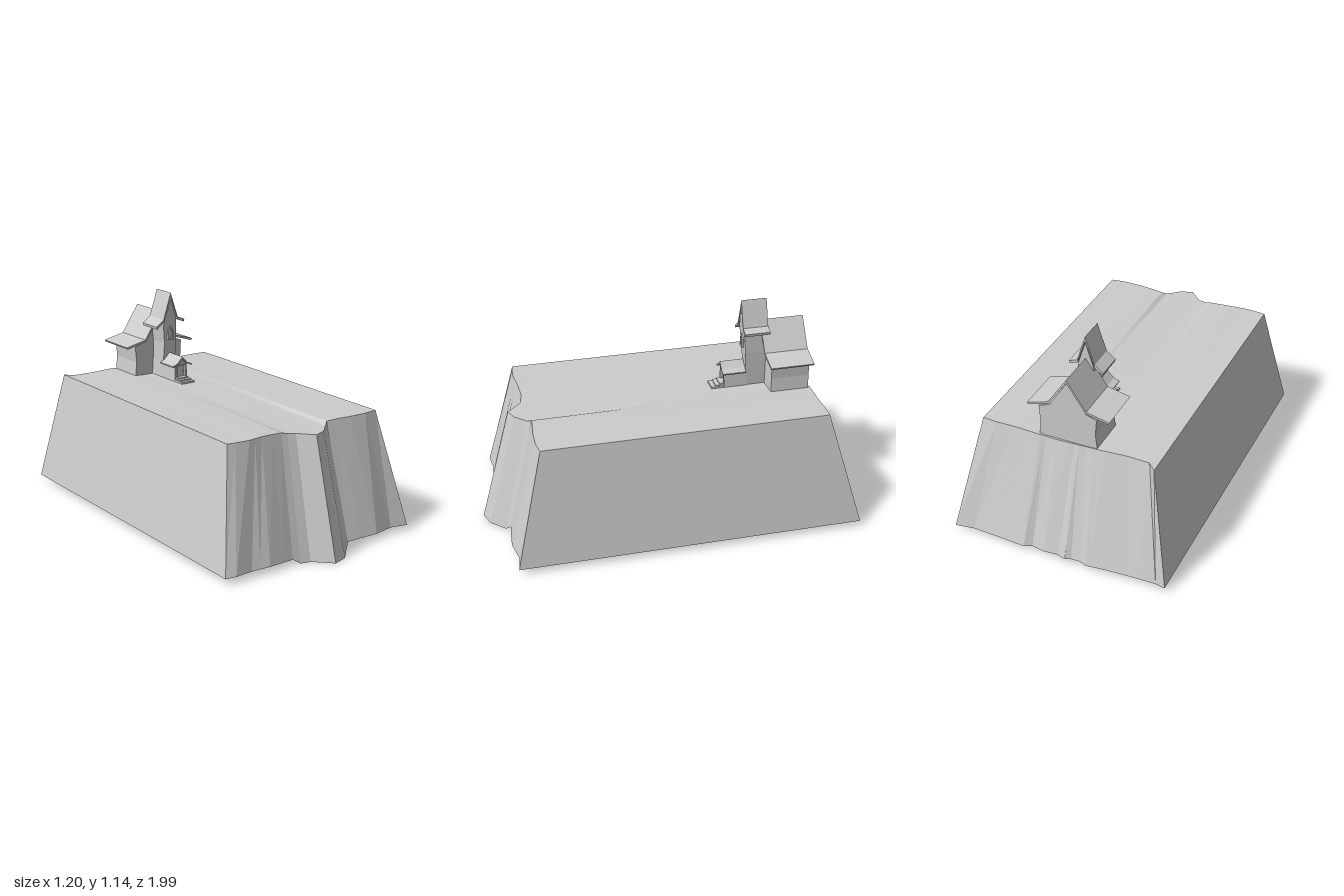
import * as THREE from 'three';

const stone = new THREE.MeshStandardMaterial({ color: 0xcccccc, side: THREE.DoubleSide });
stone.name = 'pale grey';

// Cliff cross-sections: u across (-1..1), top z, top y, bottom z, bottom y
const FRONT = [
  [-1, .725, .655, .87, .03], [-.91, .732, .655, .885, .034], [-.74, .738, .654, .875, .031], [-.57, .73, .655, .89, .035],
  [-.31, .725, .65, .875, .028], [-.24, .732, .64, .887, 0], [-.15, .745, .637, .9, 0], [0, .82, .635, .99, 0],
  [.14, .795, .635, .965, 0], [.27, .735, .637, .888, 0], [.32, .715, .652, .865, .027], [.45, .722, .655, .875, .032],
  [.625, .732, .655, .885, .034], [.83, .736, .655, .862, .033], [1, .725, .655, .88, .03],
];
const BACK = [
  [-1, -.865, .655, -.985, .03], [-.91, -.82, .655, -.975, .03], [-.66, -.816, .655, -.98, .03], [-.42, -.825, .655, -.99, .03],
  [-.28, -.826, .652, -1, .03], [-.21, -.824, .65, -.985, .03], [-.13, -.828, .65, -.986, .03], [-.08, -.826, .65, -1, .03],
  [0, -.83, .65, -.985, .03], [.13, -.832, .65, -.992, .03], [.25, -.828, .65, -.98, .03], [.32, -.833, .653, -1, .03],
  [.58, -.828, .655, -.99, .03], [.83, -.83, .655, -.984, .03], [1, -.825, .655, -1, .03],
];

// Linear lookup of a cross-section at u
function sample(rows, u) {
  let i = 1;
  while (i < rows.length - 1 && rows[i][0] < u) i++;
  const a = rows[i - 1], b = rows[i], t = (u - a[0]) / (b[0] - a[0]);
  return a.map((v, k) => v + (b[k] - v) * t);
}

// Flat-shaded sheet through a grid of points
function sheet(rows) {
  const pos = [];
  for (let r = 0; r < rows.length - 1; r++) {
    for (let i = 0; i < rows[r].length - 1; i++) {
      const a = rows[r][i], b = rows[r][i + 1], c = rows[r + 1][i + 1], d = rows[r + 1][i];
      pos.push(...a, ...b, ...c, ...a, ...c, ...d);
    }
  }
  const g = new THREE.BufferGeometry();
  g.setAttribute('position', new THREE.Float32BufferAttribute(pos, 3));
  g.computeVertexNormals();
  return g;
}

function add(parent, name, geometry) {
  const mesh = new THREE.Mesh(geometry, stone);
  mesh.name = name;
  parent.add(mesh);
  return mesh;
}

// Front outline pushed from z0 to z1, with optional hole
function slab(points, z0, z1, hole) {
  const shape = new THREE.Shape(points.map(p => new THREE.Vector2(...p)));
  if (hole) shape.holes.push(new THREE.Path(hole.map(p => new THREE.Vector2(...p))));
  return new THREE.ExtrudeGeometry(shape, { depth: z1 - z0, bevelEnabled: false }).translate(0, 0, z0);
}

// Roof shell of a given thickness below its outline
function roof(points, t, z0, z1) {
  const under = points.map(([x, y], i) => [x * .97, y - (i === 2 ? t * 1.6 : t)]).reverse();
  return slab([...points, ...under], z0, z1);
}

function box(x0, x1, y0, y1, z0, z1) {
  return new THREE.BoxGeometry(x1 - x0, y1 - y0, z1 - z0).translate((x0 + x1) / 2, (y0 + y1) / 2, (z0 + z1) / 2);
}

function makeCliff() {
  const cliff = new THREE.Group();
  cliff.name = 'cliff';
  const us = [...new Set([...FRONT, ...BACK].map(r => r[0]))].sort((a, b) => a - b);
  const topEdge = rows => us.map(u => { const s = sample(rows, u); return [u * .485, s[2], s[1]]; });
  const bottomEdge = rows => us.map(u => { const s = sample(rows, u); return [u * .6, s[4], s[3]]; });
  const ft = topEdge(FRONT), fb = bottomEdge(FRONT), bt = topEdge(BACK), bb = bottomEdge(BACK);

  // Plateau with a shallow channel fading toward the back
  const plateau = [0, .15, .35, .6, 1].map(t => ft.map((p, i) => {
    const fade = Math.min(1, t * 1.8);
    return [p[0], p[1] + (bt[i][1] - p[1]) * fade, p[2] + (bt[i][2] - p[2]) * t];
  }));
  add(cliff, 'plateau', sheet(plateau));
  add(cliff, 'frontCliff', sheet([fb, ft]));
  add(cliff, 'backCliff', sheet([bt, bb]));

  // Plain sloping sides, open underneath
  const n = us.length - 1;
  add(cliff, 'leftCliff', sheet([[fb[n], bb[n]], [ft[n], bt[n]]]));
  add(cliff, 'rightCliff', sheet([[bb[0], fb[0]], [bt[0], ft[0]]]));
  return cliff;
}

function makeHouse() {
  const house = new THREE.Group();
  house.name = 'house';

  // Main hall with pinched walls and a swept roof
  add(house, 'hall', slab([[-.16, .645], [.16, .645], [.154, .73], [.16, .822], [.1, .845], [0, 1], [-.1, .845],
    [-.158, .822], [-.15, .73]], -.82, -.606));
  add(house, 'hallRoof', roof([[-.23, .834], [-.105, .862], [0, 1.02], [.105, .864], [.222, .828]], .011, -.825, -.58));

  // Crooked tower, its upper front leaning outward
  const tower = slab([[-.043, .645], [.038, .645], [.042, .74], [.045, .85], [.042, .975], [.036, 1.0], [0, 1.11],
    [-.04, .985], [-.045, .955], [-.033, .85], [-.036, .74]], -.61, -.5);
  const p = tower.attributes.position;
  for (let i = 0; i < p.count; i++) {
    if (p.getZ(i) > -.55) p.setZ(i, -.5 + Math.max(0, p.getY(i) - .74) * .09);
  }
  tower.computeVertexNormals();
  add(house, 'tower', tower);
  add(house, 'towerRoof', roof([[-.098, .957], [-.05, .994], [0, 1.145], [.047, .998], [.092, .982]], .015, -.612, -.47));

  // Pointed tower window
  const arch = s => [[-.017 * s, .907 - .037 * s], [.017 * s, .907 - .037 * s], [.018 * s, .907 + .014 * s],
    [.002, .907 + .042 * s], [-.016 * s, .907 + .014 * s]];
  add(house, 'windowFrame', slab(arch(1), -.496, -.474, arch(.68)));
  add(house, 'windowPane', slab(arch(.7), -.49, -.481));

  // Porch with a doorway
  const porch = new THREE.Group();
  porch.name = 'porch';
  house.add(porch);
  add(porch, 'porchWalls', slab([[-.043, .645], [.043, .645], [.04, .745], [0, .778], [-.038, .745]], -.5, -.375,
    [[-.029, .672], [.029, .672], [.028, .738], [-.028, .738]]));
  add(porch, 'porchRoof', roof([[-.066, .745], [-.034, .757], [0, .793], [.034, .758], [.066, .744]], .008, -.49, -.358));
  add(porch, 'door', box(-.03, .03, .67, .74, -.394, -.386));
  add(porch, 'doorKnob', new THREE.SphereGeometry(.003, 8, 6).translate(.02, .705, -.383));
  for (const s of [-1, 1]) add(porch, 'doorPost', box(s * .032 - .004, s * .032 + .004, .668, .742, -.378, -.37));
  add(porch, 'doorLintel', box(-.036, .036, .738, .746, -.378, -.37));

  // Front steps
  for (let i = 0; i < 3; i++) {
    add(porch, 'step', box(-.036 - i * .003, .036 + i * .003, .645, .674 - i * .007, -.38, -.35 + i * .024));
  }
  return house;
}

export function createModel() {
  const model = new THREE.Group();
  model.name = 'clifftopHouse';
  model.add(makeCliff(), makeHouse());
  return model;
}
